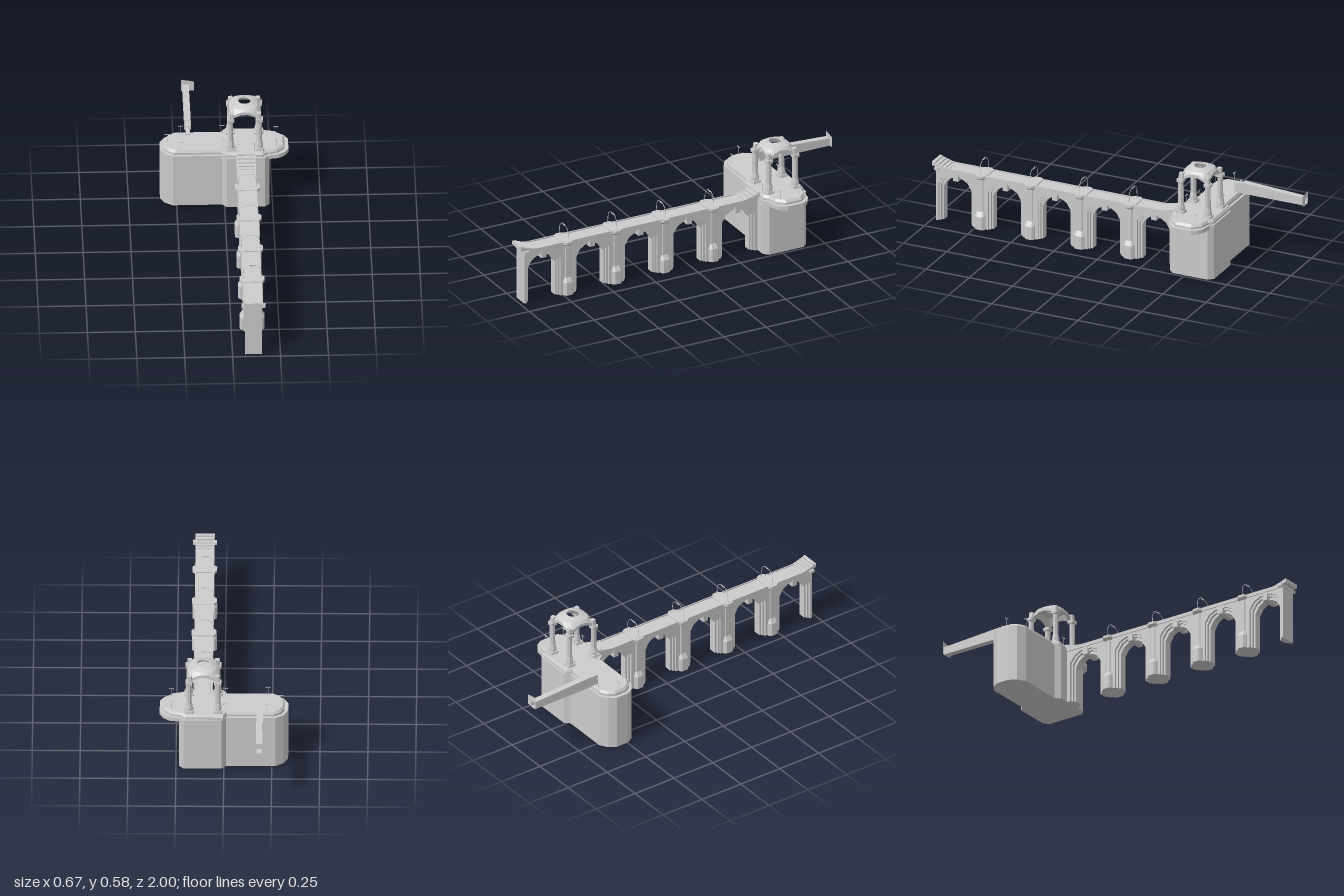
import * as THREE from 'three';

const BX = 0.11;               // bridge centre line
const CZ = -0.53;              // island centre line
const SPACING = 0.287;
const PIERS = [-0.14, 0.147, 0.434, 0.721];

export function createModel() {
  const model = new THREE.Group();
  const grey = new THREE.MeshStandardMaterial({ color: 0xcccccc, flatShading: true });
  const thin = new THREE.MeshStandardMaterial({ color: 0xcccccc, side: THREE.DoubleSide });

  const add = (name, geo, x = 0, y = 0, z = 0, parent = model, mat = grey) => {
    const m = new THREE.Mesh(geo, mat);
    m.name = name;
    m.position.set(x, y, z);
    parent.add(m);
    return m;
  };
  const box = (name, x0, x1, y0, y1, z0, z1, parent = model) =>
    add(name, new THREE.BoxGeometry(x1 - x0, y1 - y0, z1 - z0),
      (x0 + x1) / 2, (y0 + y1) / 2, (z0 + z1) / 2, parent);
  const shapeOf = pts => new THREE.Shape(pts.map(p => new THREE.Vector2(p[0], p[1])));

  // side profile given as (z, y), extruded across x and centred
  const extrudeX = (pts, width) => {
    const g = new THREE.ExtrudeGeometry(shapeOf(pts), { depth: width, bevelEnabled: false });
    return g.rotateY(-Math.PI / 2).translate(width / 2, 0, 0);
  };

  // stacked horizontal outlines [x, z], given as [outline, y], closed top and bottom
  const loft = sections => {
    const flat = sections.map(([o]) => o.map(p => new THREE.Vector2(p[0], -p[1])));
    if (THREE.ShapeUtils.area(flat[0]) < 0) flat.forEach(f => f.reverse());
    const pos = [], n = flat[0].length;
    const put = (s, i) => pos.push(flat[s][i % n].x, sections[s][1], -flat[s][i % n].y);
    for (let s = 0; s < flat.length - 1; s++)
      for (let i = 0; i < n; i++) {
        put(s, i); put(s, i + 1); put(s + 1, i + 1);
        put(s, i); put(s + 1, i + 1); put(s + 1, i);
      }
    const last = flat.length - 1;
    for (const [a, b, c] of THREE.ShapeUtils.triangulateShape(flat[last], [])) {
      put(last, a); put(last, b); put(last, c);
    }
    for (const [a, b, c] of THREE.ShapeUtils.triangulateShape(flat[0], [])) {
      put(0, a); put(0, c); put(0, b);
    }
    const g = new THREE.BufferGeometry();
    g.setAttribute('position', new THREE.Float32BufferAttribute(pos, 3));
    g.computeVertexNormals();
    return g;
  };
  // half outline mirrored across the long axis
  const mirrored = (half, sx = 1, sz = 1) => [
    ...half.map(([x, d]) => [x * sx, d * sz]),
    ...half.slice().reverse().map(([x, d]) => [x * sx, -d * sz])];
  const octagon = (hx, hz, c) => mirrored([[-hx, hz - c], [-hx + c, hz], [hx - c, hz], [hx, hz - c]]);

  // --- Island ---
  const base = mirrored([[-0.335, 0.035], [-0.312, 0.075], [-0.27, 0.102], [-0.012, 0.102],
    [0.012, 0.128], [0.21, 0.128], [0.235, 0.102]]);
  add('islandBase', loft([[base, 0], [base, 0.306]]), 0, 0, CZ);
  const ledge = mirrored([[0.2, 0.115], [0.235, 0.108], [0.285, 0.1], [0.315, 0.078], [0.335, 0.045]]);
  add('overhangingLedge', loft([[ledge, 0.285], [ledge, 0.308]]), 0, 0, CZ);
  const rim = [[-0.316, 0.033], [-0.296, 0.068], [-0.26, 0.09], [-0.015, 0.09], [0.005, 0.12],
    [0.2, 0.12], [0.222, 0.1], [0.275, 0.088], [0.315, 0.045]];
  add('platform', loft([[mirrored(rim), 0.304], [mirrored(rim), 0.319],
    [mirrored(rim, 0.97, 0.93), 0.332]]), 0, 0, CZ);

  // --- Pavilion ---
  const pavilion = new THREE.Group();
  pavilion.name = 'pavilion';
  pavilion.position.set(0.107, 0, CZ);
  model.add(pavilion);
  const columnProfile = [[0, 0.344], [0.02, 0.344], [0.019, 0.36], [0.014, 0.387], [0.0135, 0.5],
    [0.017, 0.507], [0, 0.507]].map(([r, y]) => new THREE.Vector2(r / Math.cos(Math.PI / 8), y));
  for (const sx of [-1, 1]) for (const sz of [-1, 1]) {
    const x = sx * 0.075, z = sz * 0.078;
    add('column', new THREE.LatheGeometry(columnProfile, 8, Math.PI / 8), x, 0, z, pavilion);
    add('columnFoot', loft([[octagon(0.026, 0.026, 0.006), 0.33],
      [octagon(0.024, 0.024, 0.006), 0.345]]), x, 0, z, pavilion);
    add('columnCap', loft([[octagon(0.019, 0.019, 0.004), 0.506],
      [octagon(0.019, 0.019, 0.004), 0.522]]), x, 0, z, pavilion);
    add('cornerBlock', loft([[octagon(0.014, 0.014, 0.004), 0.522],
      [octagon(0.012, 0.012, 0.004), 0.555]]), x - sx * 0.003, 0, z - sz * 0.003, pavilion);
  }
  // vaulted shell: square arched edge blending to a round opening
  const SEG = 40, pos = [], index = [], RINGS = 8;
  for (let i = 0; i < SEG; i++) {
    const t = (i / SEG) * Math.PI * 2, c = Math.cos(t), s = Math.sin(t);
    const big = Math.max(Math.abs(c), Math.abs(s));
    const e = Math.min(Math.abs(c), Math.abs(s)) / big;
    const yb = 0.543 - 0.028 * Math.max(0, (e - 0.25) / 0.75);
    const sq = h => Math.min(h / big, h * 1.3);
    [[sq(0.08), yb], [sq(0.08), yb + 0.017], [0.4 * sq(0.08) + 0.037, 0.571], [0.04, 0.584],
      [0.033, 0.584], [0.033, 0.576], [0.4 * sq(0.07) + 0.032, 0.563], [sq(0.069), yb]]
      .forEach(([r, y]) => pos.push(c * r, y, s * r));
    for (let j = 0; j < RINGS; j++) {
      const k = (j + 1) % RINGS, a = i * RINGS, b = ((i + 1) % SEG) * RINGS;
      index.push(a + j, a + k, b + k, a + j, b + k, b + j);
    }
  }
  const dome = new THREE.BufferGeometry();
  dome.setAttribute('position', new THREE.Float32BufferAttribute(pos, 3));
  dome.setIndex(index);
  dome.computeVertexNormals();
  add('domeRoof', dome, 0, 0, 0, pavilion);

  // --- Bridge: three stepped layers of arched wall ---
  const arches = [...PIERS.map(p => p - SPACING / 2), PIERS[3] + SPACING / 2];
  const archWall = (w, crown, width) => {
    const pts = [[-0.42, 0.292], [-0.42, 0]];
    for (const c of arches)
      pts.push([c - w, 0], [c - w, crown - 0.055], [c - 0.72 * w, crown - 0.018], [c - 0.35 * w, crown],
        [c + 0.35 * w, crown], [c + 0.72 * w, crown - 0.018], [c + w, crown - 0.055], [c + w, 0]);
    pts.push([0.978, 0], [0.978, 0.292]);
    return extrudeX(pts, width);
  };
  add('innerArches', archWall(0.079, 0.247, 0.042), BX);
  add('middleArches', archWall(0.089, 0.262, 0.068), BX);
  add('outerArches', archWall(0.099, 0.272, 0.09), BX);
  for (const c of arches) box('keystone', BX - 0.048, BX + 0.048, 0.242, 0.29, c - 0.015, c + 0.015);

  // deck with low kerbs
  box('deck', BX - 0.049, BX + 0.049, 0.287, 0.3, -0.42, 0.98);
  for (const s of [-1, 1])
    box('kerb', BX + s * 0.047 - 0.003, BX + s * 0.047 + 0.003, 0.287, 0.306, -0.42, 0.98);

  // stairs rising at both ends, between curved side strings
  const stairs = (z0, z1, top) => {
    const n = 5, dz = (z1 - z0) / n, steps = [[z1, top - 0.022], [z0, 0.288]], side = [...steps];
    for (let i = 0; i <= n; i++) side.push([z0 + i * dz, 0.305 + (top - 0.305) * (i / n) ** 1.4]);
    for (let i = 0; i < n; i++) {
      const y = 0.299 + (top - 0.3) * ((i + 1) / n) ** 1.4;
      steps.push([z0 + i * dz, y], [z0 + (i + 1) * dz, y]);
    }
    add('stairs', extrudeX(steps, 0.09), BX);
    for (const s of [-1, 1]) add('stairString', extrudeX(side, 0.006), BX + s * 0.047);
  };
  stairs(0.905, 1, 0.332);
  stairs(-0.3, -0.425, 0.332);

  // --- Lamps ---
  const lampHeads = (x, y, z, parent) => {
    box('lampArm', x - 0.011, x + 0.011, y - 0.001, y + 0.001, z - 0.001, z + 0.001, parent);
    for (const d of [-0.01, 0, 0.01])
      add('lampBulb', new THREE.SphereGeometry(0.0032, 8, 6), x + d, y, z, parent);
  };
  const lamps = [[-0.297, -0.53], [-0.23, -0.455], [-0.224, -0.605], [-0.008, -0.465], [-0.008, -0.605],
    [0.07, -0.43], [0.157, -0.43], [0.273, -0.585], [0.273, -0.472]];
  for (const [x, z] of lamps) {
    const lamp = new THREE.Group();
    lamp.name = 'lampPost';
    lamp.position.set(x, 0.33, z);
    model.add(lamp);
    add('lampPole', new THREE.CylinderGeometry(0.001, 0.0016, 0.047, 6), 0, 0.0235, 0, lamp);
    add('lampFoot', new THREE.CylinderGeometry(0.002, 0.0035, 0.008, 6), 0, 0.004, 0, lamp);
    lampHeads(0, 0.047, 0, lamp);
  }

  // --- Piers: pilaster, flared foot, balcony and lamp hoop ---
  const hoop = new THREE.CurvePath();
  const hp = [[-0.05, 0.3], [-0.047, 0.352], [-0.038, 0.37], [-0.018, 0.384], [0.018, 0.384],
    [0.038, 0.37], [0.047, 0.352], [0.05, 0.3]].map(([x, y]) => new THREE.Vector3(x, y, 0));
  for (let i = 0; i < hp.length - 1; i++) hoop.add(new THREE.LineCurve3(hp[i], hp[i + 1]));
  for (const z of PIERS) {
    const pier = new THREE.Group();
    pier.name = 'pier';
    pier.position.set(BX, 0, z);
    model.add(pier);
    add('pilaster', loft([[octagon(0.05, 0.019, 0.006), 0], [octagon(0.05, 0.019, 0.006), 0.29]]), 0, 0, 0, pier);
    const foot = octagon(0.065, 0.029, 0.012);
    add('pierFoot', loft([[foot, 0], [foot, 0.073], [octagon(0.051, 0.02, 0.006), 0.098]]), 0, 0, 0, pier);
    add('balcony', loft([[octagon(0.052, 0.026, 0.012), 0.28], [octagon(0.065, 0.034, 0.018), 0.291],
      [octagon(0.065, 0.034, 0.018), 0.305]]), 0, 0, 0, pier);
    add('lampHoop', new THREE.TubeGeometry(hoop, 48, 0.0016, 5), 0, 0, 0, pier);
    lampHeads(0, 0.38, 0, pier);
  }
  // end support under the front stairs
  box('frontBracket', BX - 0.062, BX + 0.062, 0.29, 0.304, 0.955, 0.982);

  // --- Covered gangway behind the island ---
  const GX = -0.187;
  const passage = (name, z0, z1, half, y0, y1) => {
    const g = new THREE.Group();
    g.name = name;
    model.add(g);
    const wall = [[z0, 0.334], [z1, 0.334], [z1, y1], [z0, y0]];
    const roof = [[z0, y0 - 0.004], [z1, y1 - 0.004], [z1, y1], [z0, y0]];
    for (const s of [-1, 1]) add('wall', extrudeX(wall, 0.003), GX + s * (half - 0.0015), 0, 0, g);
    add('roof', extrudeX(roof, half * 2), GX, 0, 0, g);
    box('floor', GX - half, GX + half, 0.331, 0.336, z1, z0, g);
  };
  passage('gangway', -0.64, -1, 0.017, 0.392, 0.373);
  passage('gangwayDoor', -0.59, -0.645, 0.012, 0.386, 0.386);
  const panel = shapeOf([[-0.209, 0.334], [-0.142, 0.334], [-0.142, 0.392], [-0.209, 0.404]]);
  panel.holes.push(new THREE.Path([[-0.201, 0.338], [-0.201, 0.369], [-0.173, 0.369], [-0.173, 0.338]]
    .map(p => new THREE.Vector2(...p))));
  add('endPanel', new THREE.ShapeGeometry(panel), 0, 0, -1, model, thin);

  return model;
}
